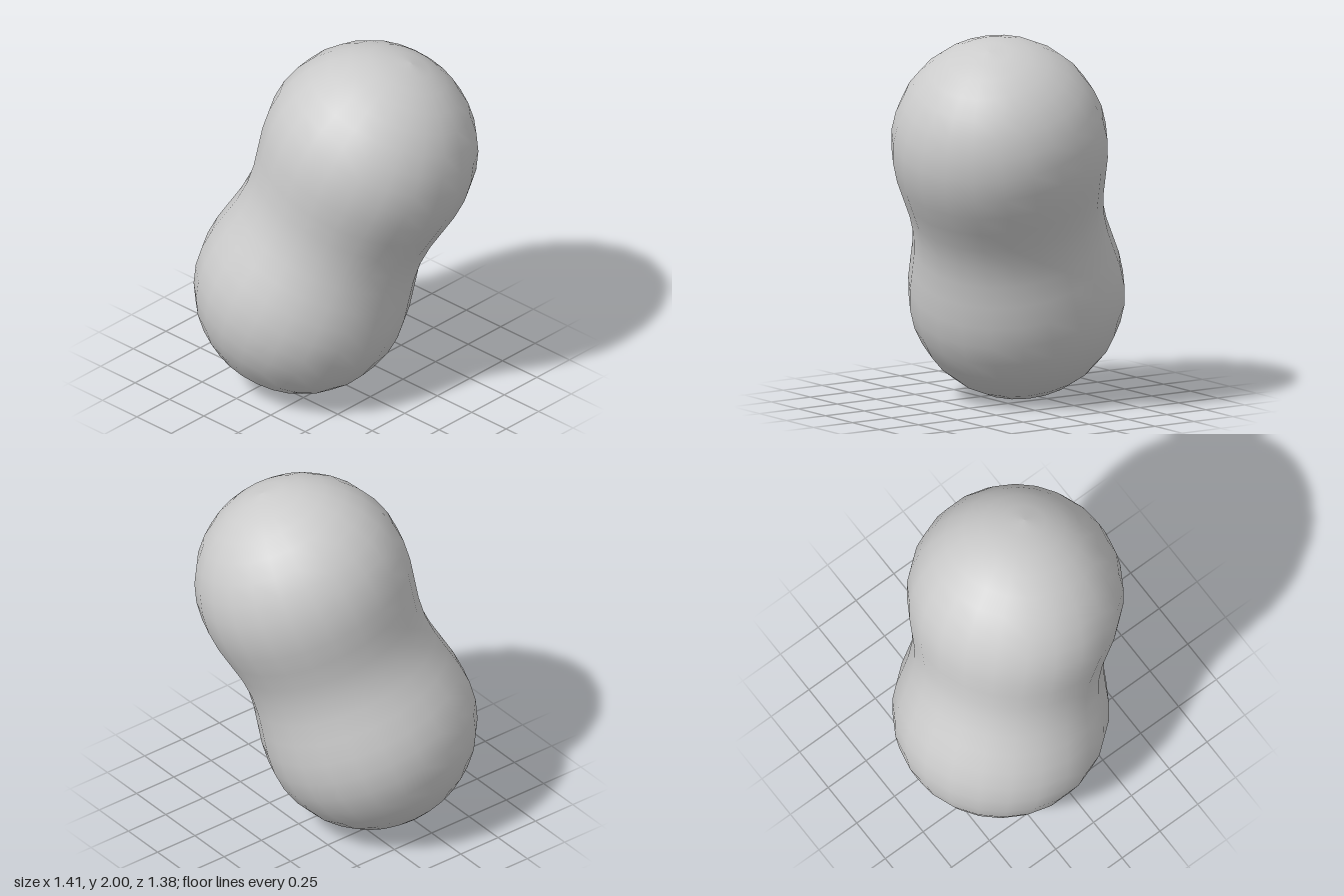
import * as THREE from 'three';

const RADIUS = 0.575;                                     // radius of both lobes
const WAIST = 0.51;                                       // radius halfway between them
const upper = new THREE.Vector3(0.135, 0.425, -0.115);    // upper lobe centre from the middle
const half = upper.length();

// One half of the outline, from the waist to the tip
function halfProfile() {
  const points = [];
  const neckSteps = 4, capSteps = 8;
  for (let i = 0; i < neckSteps; i++) {
    const u = i / neckSteps;
    const blend = (1 - Math.cos(Math.PI * u)) / 2;
    points.push(new THREE.Vector2(WAIST + (RADIUS - WAIST) * blend, half * u));
  }
  for (let i = 0; i <= capSteps; i++) {
    const a = (i / capSteps) * Math.PI / 2;
    const r = i === capSteps ? 0 : RADIUS * Math.cos(a);
    points.push(new THREE.Vector2(r, half + RADIUS * Math.sin(a)));
  }
  return points;
}

export function createModel() {
  const group = new THREE.Group();
  group.name = 'mergedBlob';

  // Two merged lobes turned around one slanted axis
  const top = halfProfile();
  const bottom = top.slice(1).reverse().map(p => new THREE.Vector2(p.x, -p.y));
  const body = new THREE.Mesh(
    new THREE.LatheGeometry([...bottom, ...top], 22),
    new THREE.MeshStandardMaterial({ color: 0xcccccc })
  );
  body.name = 'twoLobedBody';
  body.quaternion.setFromUnitVectors(new THREE.Vector3(0, 1, 0), upper.clone().normalize());
  body.position.y = 1;
  group.add(body);
  return group;
}
